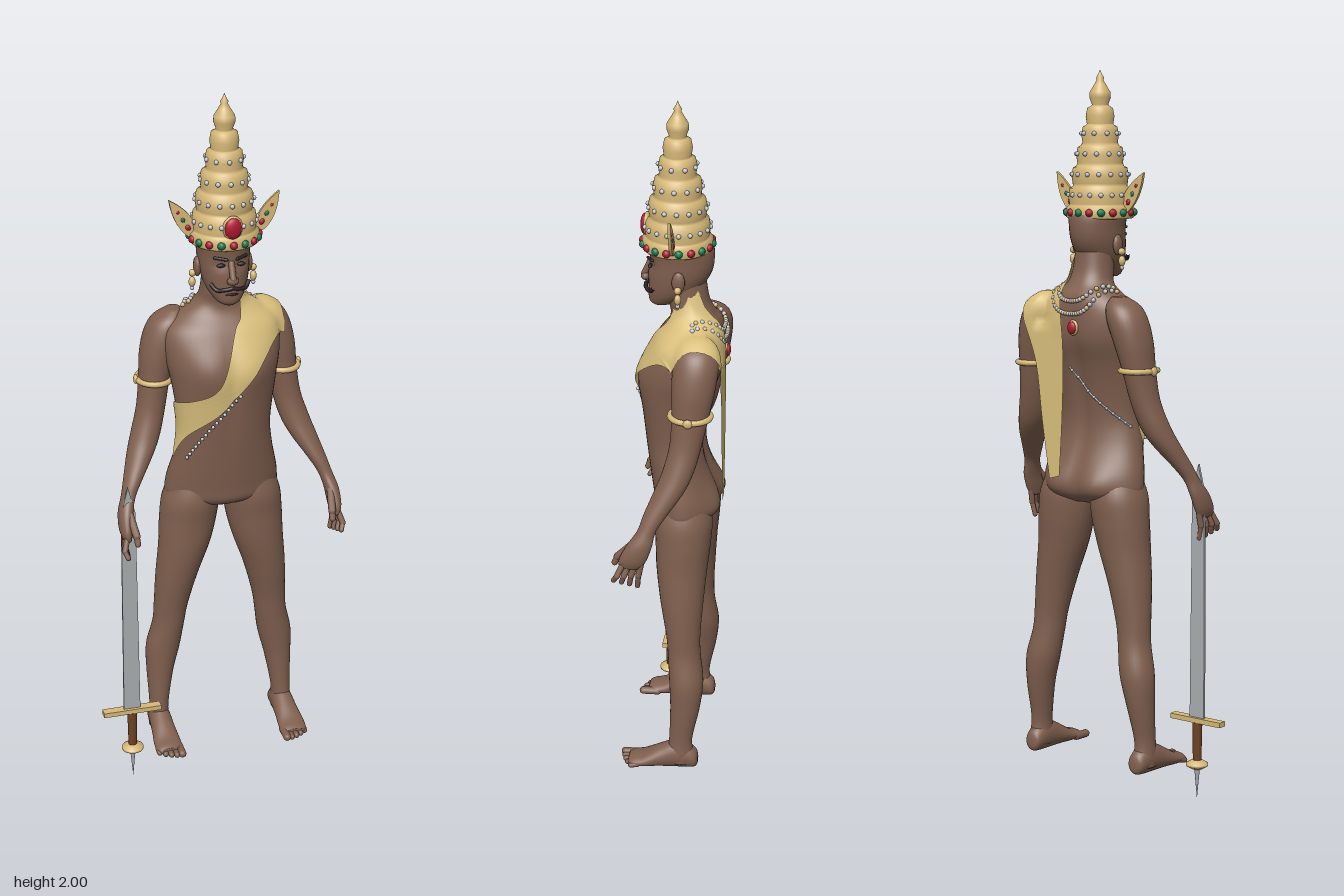
import * as THREE from 'three';

const CX = 0.013; // body centre line
const mat = (name, color, side = THREE.FrontSide) => {
  const m = new THREE.MeshStandardMaterial({ color, side });
  m.name = name;
  return m;
};
const V = (x, y, z) => new THREE.Vector3(x, y, z);

export function createModel() {
  const root = new THREE.Group();
  root.name = 'crownedFigure';
  const skin = mat('skin', 0x80604f), gold = mat('gold', 0xd6b878);
  const cloth = mat('cloth', 0xd9bf7c, THREE.DoubleSide), steel = mat('steel', 0xa9adb1);
  const pearl = mat('pearl', 0xc3c6cc), red = mat('ruby', 0xb01830), green = mat('emerald', 0x157a50);
  const dark = mat('hair', 0x2c2222), wood = mat('wood', 0x6e4224);

  const add = (name, geo, m, parent = root) => {
    const mesh = new THREE.Mesh(geo, m);
    mesh.name = name;
    parent.add(mesh);
    return mesh;
  };
  const ball = (name, p, r, m, s = [1, 1, 1], parent = root, seg = 10) => {
    const b = add(name, new THREE.SphereGeometry(r, seg, Math.max(6, seg * 0.7 | 0)), m, parent);
    b.position.copy(p);
    b.scale.set(...s);
    return b;
  };
  // Rounded rod between two points
  const rod = (name, a, b, r, m = skin) => {
    const d = b.clone().sub(a), c = add(name, new THREE.CapsuleGeometry(r, d.length(), 4, 10), m);
    c.position.copy(a).lerp(b, 0.5);
    c.quaternion.setFromUnitVectors(V(0, 1, 0), d.normalize());
    return c;
  };
  const spline = (k, t) => { // Catmull-Rom through rows of numbers
    const i = Math.min(Math.floor(t), k.length - 2), u = t - i;
    const at = j => k[Math.max(0, Math.min(k.length - 1, j))];
    return k[i].map((_, n) => {
      const a = at(i - 1)[n], b = at(i)[n], c = at(i + 1)[n], d = at(i + 2)[n];
      return b + 0.5 * u * (c - a + u * (2 * a - 5 * b + 4 * c - d + u * (3 * (b - c) + d - a)));
    });
  };
  // Elliptical rings [y, x, z, rx, rz], rising in y, with an optional shaping rule
  const loft = (keys, shape, n = 32, sub = 5) => {
    const pos = [], idx = [], rows = (keys.length - 1) * sub + 1;
    for (let i = 0; i < rows; i++) {
      const [y, x, z, rx, rz] = spline(keys, i / sub);
      for (let j = 0; j < n; j++) {
        const a = j / n * Math.PI * 2, p = V(x + rx * Math.cos(a), y, z + rz * Math.sin(a));
        if (shape) shape(p, Math.sin(a));
        pos.push(p.x, p.y, p.z);
        const q = i * n + j, r = i * n + (j + 1) % n;
        if (i < rows - 1) idx.push(q, q + n, r, r, q + n, r + n);
      }
    }
    const first = keys[0], last = keys[keys.length - 1], c = rows * n;
    pos.push(first[1], first[0], first[2], last[1], last[0], last[2]);
    for (let j = 0; j < n; j++) {
      const k = (j + 1) % n;
      idx.push(c, j, k, c + 1, c - n + k, c - n + j);
    }
    const g = new THREE.BufferGeometry();
    g.setAttribute('position', new THREE.Float32BufferAttribute(pos, 3));
    g.setIndex(idx);
    g.computeVertexNormals();
    return g;
  };
  const bump = (p, x, y, w, h) => Math.exp(-(((Math.abs(p.x - CX) - x) / w) ** 2) - ((p.y - y) / h) ** 2);

  // Torso with chest, buttocks and spine groove
  const torso = add('torso', loft([
    [0.825, CX, -0.03, 0.06, 0.05], [0.85, CX, -0.028, 0.15, 0.082], [0.9, CX, -0.025, 0.16, 0.088],
    [1.0, CX, -0.003, 0.138, 0.08], [1.08, CX, 0.004, 0.13, 0.083], [1.2, CX, -0.002, 0.145, 0.1],
    [1.28, CX, -0.018, 0.16, 0.107], [1.35, CX, -0.035, 0.158, 0.092], [1.395, CX, -0.048, 0.11, 0.073],
    [1.425, CX, -0.042, 0.068, 0.06], [1.46, CX, -0.03, 0.057, 0.056], [1.52, CX, -0.02, 0.054, 0.056],
  ], (p, s) => {
    if (s > 0) p.z += s * (0.013 * bump(p, 0.07, 1.25, 0.055, 0.055) - 0.006 * bump(p, 0, 1.2, 0.015, 0.14));
    else p.z += s * (0.02 * bump(p, 0.075, 0.875, 0.05, 0.05) - 0.012 * bump(p, 0, 1.1, 0.02, 0.26)
      + 0.008 * bump(p, 0.08, 1.28, 0.05, 0.08));
  }, 48, 6), skin);

  // Limbs
  const targets = [torso];
  for (const s of [1, -1]) {
    const side = s > 0 ? 'left' : 'right', X = o => CX + s * o;
    const arm = add(side + 'Arm', loft([
      [0.795, 0.299, 0.085, 0.012, 0.03], [0.82, 0.3, 0.077, 0.018, 0.037], [0.86, 0.296, 0.06, 0.02, 0.034],
      [0.9, 0.283, 0.042, 0.02, 0.025], [0.94, 0.265, 0.022, 0.026, 0.031], [1.0, 0.235, -0.012, 0.037, 0.04],
      [1.05, 0.214, -0.033, 0.041, 0.042], [1.12, 0.194, -0.05, 0.04, 0.043], [1.2, 0.181, -0.06, 0.043, 0.05],
      [1.27, 0.168, -0.066, 0.051, 0.058], [1.33, 0.151, -0.07, 0.054, 0.06], [1.37, 0.136, -0.07, 0.046, 0.05],
      [1.395, 0.122, -0.07, 0.02, 0.025],
    ].map(([y, o, ...r]) => [y, X(o), ...r])), skin);
    if (s > 0) targets.push(arm);
    for (let i = 0; i < 4; i++) { // fingers bend at one knuckle
      const k = V(X(0.301 + 0.004 * i), 0.772, 0.062 + 0.019 * i);
      rod(side + 'Finger', V(X(0.299), 0.815, 0.054 + 0.015 * i), k, 0.0085);
      rod(side + 'Fingertip', k, V(X(0.294 + 0.004 * i), 0.737 + 0.006 * i, 0.066 + 0.021 * i), 0.0072);
    }
    rod(side + 'Thumb', V(X(0.288), 0.862, 0.078), V(X(0.28), 0.815, 0.122), 0.0105);
    rod(side + 'ThumbTip', V(X(0.28), 0.815, 0.122), V(X(0.279), 0.795, 0.13), 0.0085);

    const band = add(side + 'Armband', new THREE.TorusGeometry(0.047, 0.008, 8, 32).rotateX(Math.PI / 2), gold);
    band.position.set(X(0.181), 1.2, -0.06);
    band.scale.z = 1.13;
    const clasp = V(X(0.232), 1.2, -0.06);
    ball(side + 'ArmbandStud', clasp, 0.01, gold, [0.7, 1.3, 1.3]);

    add(side + 'Leg', loft([
      [0.1, 0.187, -0.035, 0.028, 0.036], [0.13, 0.187, -0.035, 0.029, 0.037], [0.18, 0.185, -0.036, 0.028, 0.033],
      [0.28, 0.178, -0.047, 0.039, 0.042], [0.36, 0.168, -0.049, 0.049, 0.048], [0.44, 0.153, -0.041, 0.046, 0.046],
      [0.5, 0.146, -0.037, 0.049, 0.048], [0.6, 0.13, -0.031, 0.06, 0.06], [0.7, 0.108, -0.028, 0.073, 0.071],
      [0.78, 0.096, -0.03, 0.081, 0.077], [0.85, 0.088, -0.028, 0.08, 0.08], [0.92, 0.078, -0.024, 0.06, 0.06],
    ].map(([y, o, ...r]) => [y, X(o), ...r])), skin);
    add(side + 'Foot', loft([ // lofted along its length
      [-0.085, 0.185, -0.108, 0.01, 0.012], [-0.075, 0.185, -0.113, 0.025, 0.03], [-0.03, 0.186, -0.124, 0.031, 0.044],
      [0.02, 0.187, -0.114, 0.034, 0.034], [0.07, 0.188, -0.1, 0.039, 0.02], [0.1, 0.187, -0.096, 0.037, 0.015],
      [0.113, 0.187, -0.095, 0.028, 0.01],
    ].map(([y, o, ...r]) => [y, X(o), ...r])).rotateX(Math.PI / 2), skin);
    for (let i = 0; i < 5; i++) {
      const o = 0.158 + 0.0152 * i, r = i ? 0.0085 : 0.0115, end = 0.129 - 0.0016 * i * i;
      rod(side + 'Toe', V(X(o), 0.094, 0.085), V(X(o), 0.081 + r, end), r);
    }

    // Ears, earrings, eyes and brows
    ball(side + 'Ear', V(X(0.071), 1.53, -0.012), 0.026, skin, [0.4, 1.1, 0.7]);
    ball(side + 'EarStud', V(X(0.084), 1.512, -0.012), 0.01, gold);
    ball(side + 'EarDrop', V(X(0.085), 1.487, -0.012), 0.012, gold, [0.8, 1.2, 0.8]);
    ball(side + 'EarPearl', V(X(0.085), 1.469, -0.012), 0.006, pearl);
    ball(side + 'Eye', V(X(0.028), 1.556, 0.069), 0.011, dark, [1.1, 0.5, 0.5]);
    rod(side + 'Brow', V(X(0.014), 1.573, 0.077), V(X(0.043), 1.576, 0.061), 0.004, dark);
    const whisker = new THREE.CatmullRomCurve3([V(X(0), 1.495, 0.085), V(X(0.02), 1.491, 0.082),
      V(X(0.04), 1.488, 0.068), V(X(0.053), 1.503, 0.056)]);
    add(side + 'Moustache', new THREE.TubeGeometry(whisker, 12, 0.0055, 8), dark);

    // Leaf-shaped crown wings with gems
    const leaf = new THREE.Shape();
    leaf.moveTo(0, 0);
    leaf.bezierCurveTo(0.035, 0.03, 0.03, 0.08, 0, 0.135);
    leaf.bezierCurveTo(-0.024, 0.08, -0.022, 0.03, 0, 0);
    const wing = new THREE.Group();
    wing.name = side + 'CrownWing';
    wing.position.set(X(0.08), 1.61, 0);
    wing.rotation.z = -s * 0.55;
    root.add(wing);
    add('wingPlate', new THREE.ExtrudeGeometry(leaf, { depth: 0.008, bevelEnabled: false }).translate(0, 0, -0.004), gold, wing);
    for (let i = 0; i < 3; i++)
      ball('wingGem', V(0.002, 0.04 + 0.026 * i, 0), 0.008 - 0.001 * i, i === 1 ? green : red, [1, 1.3, 1], wing);
  }

  // Head
  add('head', loft([
    [1.44, CX, 0.045, 0.018, 0.02], [1.452, CX, 0.036, 0.036, 0.04], [1.485, CX, 0.012, 0.056, 0.066],
    [1.53, CX, -0.005, 0.067, 0.083], [1.575, CX, -0.012, 0.071, 0.086], [1.62, CX, -0.008, 0.072, 0.083],
    [1.66, CX, -0.005, 0.04, 0.045],
  ], (p, s) => {
    if (s > 0) p.z -= s * 0.009 * bump(p, 0.029, 1.556, 0.016, 0.014);
  }), skin);
  rod('noseBridge', V(CX, 1.56, 0.072), V(CX, 1.522, 0.089), 0.009);
  ball('noseTip', V(CX, 1.516, 0.086), 0.013, skin, [1.3, 0.9, 1]);
  ball('mouth', V(CX, 1.475, 0.077), 0.018, dark, [1, 0.18, 0.3]);

  // Tiered crown
  const profile = [[0, 1.6], [0.088, 1.6], [0.094, 1.605], [0.094, 1.628], [0.086, 1.635]];
  const tiers = [[1.64, 0.084], [1.695, 0.075], [1.75, 0.062], [1.805, 0.048], [1.855, 0.036]];
  tiers.forEach(([y, r]) => profile.push([r, y], [r + 0.003, y + 0.02], [r - 0.001, y + 0.042], [r - 0.01, y + 0.047]));
  profile.push([0.022, 1.906], [0.029, 1.925], [0.028, 1.94], [0.016, 1.96], [0.009, 1.972], [0.011, 1.978], [0.005, 1.988], [0, 2]);
  add('crown', new THREE.LatheGeometry(profile.map(p => new THREE.Vector2(...p)), 40), gold).position.x = CX;
  const ringOf = (name, count, r, y, size, pick) => {
    for (let i = 0; i < count; i++) {
      const a = i / count * Math.PI * 2;
      ball(name, V(CX + r * Math.sin(a), y, r * Math.cos(a)), size, pick(i));
    }
  };
  ringOf('crownBandGem', 18, 0.092, 1.617, 0.011, i => i % 2 ? green : red);
  tiers.slice(0, 4).forEach(([y, r], i) => ringOf('crownPearl', 18 - 3 * i, r + 0.003, y + 0.024, 0.0065, () => pearl));
  ball('crownJewelSetting', V(CX, 1.662, 0.081), 0.028, gold, [1, 1.2, 0.4]);
  ball('crownJewel', V(CX, 1.662, 0.087), 0.023, red, [1, 1.25, 0.5], root, 20);

  // Points dropped on the body surface from direction d
  const caster = new THREE.Raycaster();
  const drop = (p, d, lift) => {
    const dir = d.clone().normalize();
    caster.set(p.clone().add(dir), dir.clone().negate());
    const hit = caster.intersectObjects(targets)[0];
    return (hit ? hit.point : p.clone()).addScaledVector(dir, lift);
  };

  // Sash: [x0, y0, x1, y1, direction x y z, hang], from the back hem over the left shoulder to the right hip
  const sashRows = [
    [0.05, 0.9, 0.085, 0.89, 0, 0, -1, 1], [0.04, 1.05, 0.11, 1.05, 0, 0, -1, 1], [0.035, 1.2, 0.13, 1.2, 0, 0, -1, 1],
    [0.04, 1.31, 0.165, 1.3, 0, 0, -1, 0.5], [0.05, 1.32, 0.185, 1.3, 0, 0.6, -0.8, 0], [0.055, 1.32, 0.19, 1.3, 0, 1, -0.1, 0],
    [0.05, 1.33, 0.185, 1.3, 0, 0.75, 0.65, 0], [0.03, 1.35, 0.15, 1.31, 0, 0.2, 1, 0], [0, 1.28, 0.085, 1.26, 0, 0, 1, 0],
    [-0.035, 1.21, 0.025, 1.19, 0, 0, 1, 0], [-0.085, 1.175, -0.02, 1.13, -0.1, 0, 1, 0],
    [-0.115, 1.15, -0.065, 1.06, -0.5, 0, 0.8, 0], [-0.11, 1.13, -0.085, 0.98, -0.9, 0, 0.45, 0],
  ];
  const grid = [], faces = [], W = 10, R = (sashRows.length - 1) * 5;
  for (let i = 0; i <= R; i++) {
    const [x0, y0, x1, y1, dx, dy, dz, hang] = spline(sashRows, i / 5);
    for (let j = 0; j <= W; j++) {
      const t = j / W, p = drop(V(x0 + (x1 - x0) * t, y0 + (y1 - y0) * t, -0.02), V(dx, dy, dz), 0.008);
      if (hang > 0.4) p.z = Math.min(p.z, -0.134);
      grid.push(p.x, p.y, p.z);
      const a = i * (W + 1) + j;
      if (i < R && j < W) faces.push(a, a + W + 1, a + 1, a + 1, a + W + 1, a + W + 2);
    }
  }
  const sash = new THREE.BufferGeometry();
  sash.setAttribute('position', new THREE.Float32BufferAttribute(grid, 3));
  sash.setIndex(faces);
  sash.computeVertexNormals();
  add('sash', sash, cloth);

  // Bead strings: sash edge, back cord and two-strand necklace with pendant
  for (let i = 0; i < 16; i++) {
    const t = i / 15;
    ball('sashBead', drop(V(0.03 - 0.11 * t, 1.19 - 0.19 * t, 0), V(-0.5 * t, 0, 1), 0.01), 0.005, pearl);
  }
  const cord = [];
  for (let i = 0; i < 22; i++) {
    const t = i / 21;
    cord.push(drop(V(0.04 - 0.15 * t, 1.2 - 0.21 * t + 0.05 * t * t, -0.02), V(-0.6 * t * t, 0, -1), 0.004));
    if (i % 2) ball('cordBead', cord[i], 0.0045, pearl);
  }
  add('backCord', new THREE.TubeGeometry(new THREE.CatmullRomCurve3(cord), 44, 0.0025, 6), pearl);
  for (const [w, y, n] of [[0.085, 1.37, 22], [0.1, 1.335, 26]])
    for (let i = 0; i <= n; i++) {
      const t = i / n * 2 - 1, u = t * t;
      const p = drop(V(CX + w * t, y + 0.03 * u, -0.05), V(0, 0.15 + 1.3 * u * u, -1 + 0.9 * u * u), 0.005);
      ball('necklaceBead', p, 0.0065, i % 3 ? pearl : gold);
    }
  const pend = drop(V(0.004, 1.31, 0), V(0, 0, -1), 0.005);
  ball('pendantSetting', pend, 0.018, gold, [1, 1.2, 0.5]);
  ball('pendantGem', pend.clone().add(V(0, 0, -0.006)), 0.014, red, [1, 1.25, 0.6]);

  // Sword, point up, held at the blade
  const sword = new THREE.Group();
  sword.name = 'sword';
  sword.position.set(-0.277, 0, 0.066);
  root.add(sword);
  const blade = new THREE.Shape([[-0.024, 0.23], [0.024, 0.23], [0.02, 0.86], [0, 0.94], [-0.02, 0.86]].map(p => new THREE.Vector2(...p)));
  add('blade', new THREE.ExtrudeGeometry(blade, { depth: 0.007, bevelEnabled: false }).translate(0, 0, -0.0035), steel, sword);
  add('guard', new THREE.BoxGeometry(0.168, 0.014, 0.025), gold, sword).position.y = 0.226;
  add('grip', new THREE.CylinderGeometry(0.014, 0.012, 0.11, 16), wood, sword).position.y = 0.165;
  const pommel = [[0, 0.085], [0.014, 0.086], [0.031, 0.096], [0.031, 0.102], [0.014, 0.112], [0, 0.113]];
  add('pommel', new THREE.LatheGeometry(pommel.map(p => new THREE.Vector2(...p)), 24), gold, sword);
  add('pommelSpike', new THREE.ConeGeometry(0.008, 0.09, 12).rotateX(Math.PI), steel, sword).position.y = 0.045;
  return root;
}
